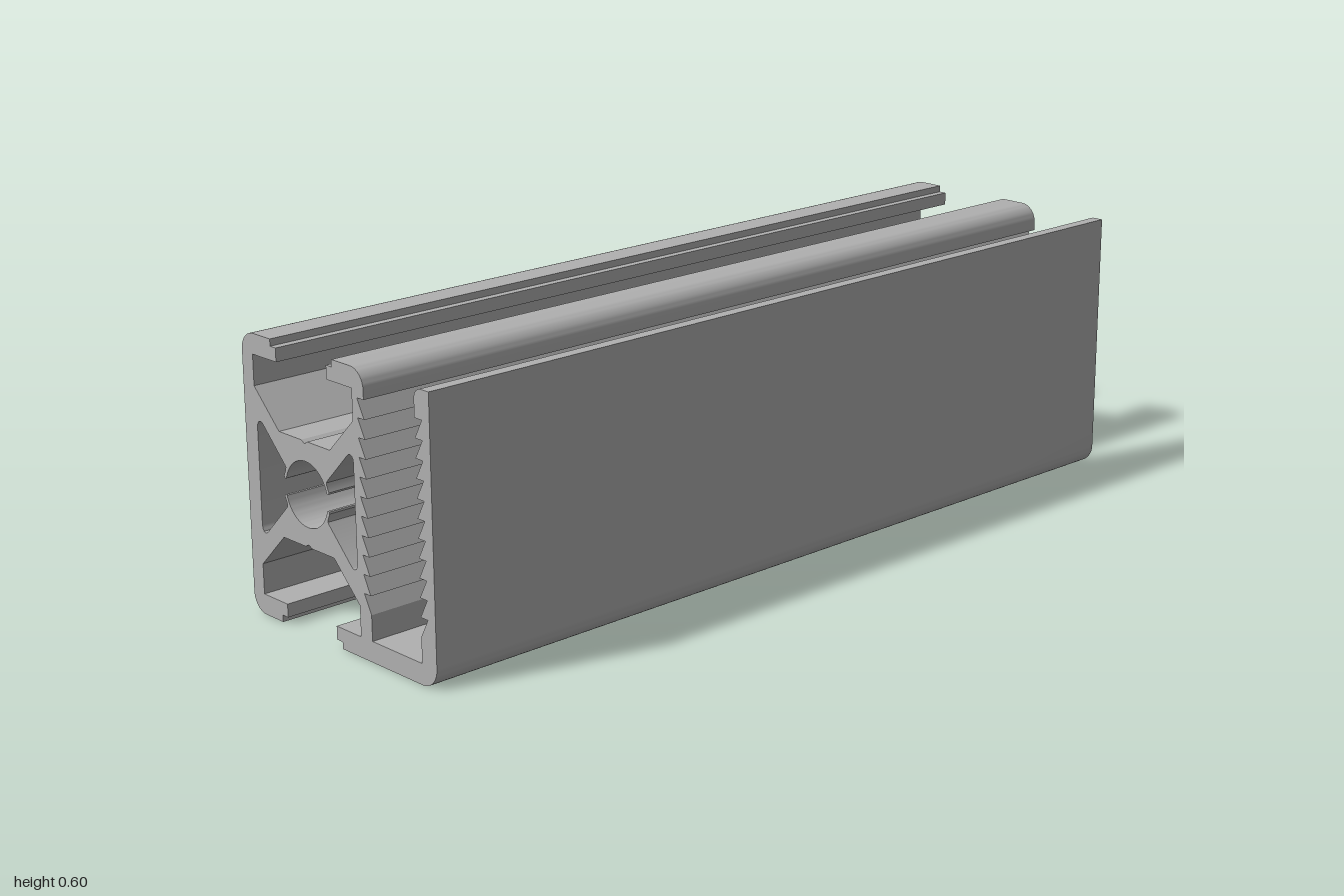
import * as THREE from 'three';
import { toCreasedNormals } from 'three/addons/utils/BufferGeometryUtils.js';

const LENGTH = 2;
const TOOTH = 0.04, TEETH = 11;

// Points on a circular arc, angles in degrees
function arc(cx, cy, r, from, to, steps = 10) {
  const pts = [];
  for (let i = 0; i <= steps; i++) {
    const a = THREE.MathUtils.degToRad(from + (to - from) * i / steps);
    pts.push([cx + r * Math.cos(a), cy + r * Math.sin(a)]);
  }
  return pts;
}

// Outer contour, counterclockwise from the lower middle lip
function outline() {
  const p = [[0, 0], ...arc(0.255, 0.045, 0.045, -90, 0), [0.3, 0.6], ...arc(0.277, 0.578, 0.022, 90, 180)];

  // Ratchet teeth down the free wall, then up the facing wall
  for (let i = 0; i < TEETH; i++) {
    const y = 0.54 - i * TOOTH;
    p.push([0.255, y], [0.277, y]);
  }
  p.push([0.255, 0.1], [0.255, 0.045], [0.099, 0.045], [0.099, 0.1]);
  for (let i = 1; i <= TEETH; i++) {
    const y = 0.1 + i * TOOTH;
    p.push([0.078, y], [0.099, y]);
  }
  p.push(...arc(0.059, 0.56, 0.04, 0, 90));

  // T-slot: right half, mirrored about x = -0.1 for the left half
  const slot = [
    [0, 0.6], [0, 0.585], [-0.018, 0.585], [-0.018, 0.556], [0.062, 0.556],
    [0.062, 0.49], [-0.017, 0.412], [-0.091, 0.412],
  ];
  const mirrored = slot.map(([x, y]) => [-0.2 - x - 0.002, y]).reverse();
  const topSlot = [...slot, [-0.1, 0.406], ...mirrored];
  p.push(...topSlot);
  p.push(...arc(-0.26, 0.56, 0.04, 90, 180), ...arc(-0.26, 0.04, 0.04, 180, 270));

  // Bottom slot mirrors the top one; its last point is the start point
  const bottomSlot = topSlot.map(([x, y]) => [x, 0.6 - y]).reverse();
  p.push(...bottomSlot.slice(0, -1));
  return p;
}

// Inner cavity: side pockets joined to the screw bore between four lips
function cavity() {
  const quarter = [
    [0.159, 0.105], [0.1575, 0.112], [0.154, 0.117], [0.149, 0.119], [0.144, 0.118], [0.140, 0.115],
    [0.070, 0.045], [0.0675, 0.041], [0.068, 0.036], [0.0745, 0.022],
    [0.0735, 0.018], [0.070, 0.0165],
    ...arc(0, 0, 0.0695, 15, 90, 18),
  ];
  const back = quarter.slice(0, -1).reverse();
  const place = (list, sx, sy) => list.map(([u, v]) => [-0.1 + sx * u, 0.3 + sy * v]);
  return [
    ...place(quarter, 1, 1), ...place(back, -1, 1),
    ...place(quarter, -1, -1), ...place(back, 1, -1),
  ];
}

export function createModel() {
  const model = new THREE.Group();
  model.name = 'slottedExtrusion';

  const aluminium = new THREE.MeshStandardMaterial({ color: 0xb0b0b0 });
  aluminium.name = 'aluminium grey';

  const vectors = (pts) => pts.map(([x, y]) => new THREE.Vector2(x, y));
  const section = new THREE.Shape(vectors(outline()));
  section.holes.push(new THREE.Path(vectors(cavity())));

  // Constant cross-section along z
  const geometry = new THREE.ExtrudeGeometry(section, { depth: LENGTH, bevelEnabled: false });
  geometry.translate(0, 0, -LENGTH / 2);

  const profile = new THREE.Mesh(toCreasedNormals(geometry, 0.4), aluminium);
  profile.name = 'profileRail';
  model.add(profile);
  return model;
}
